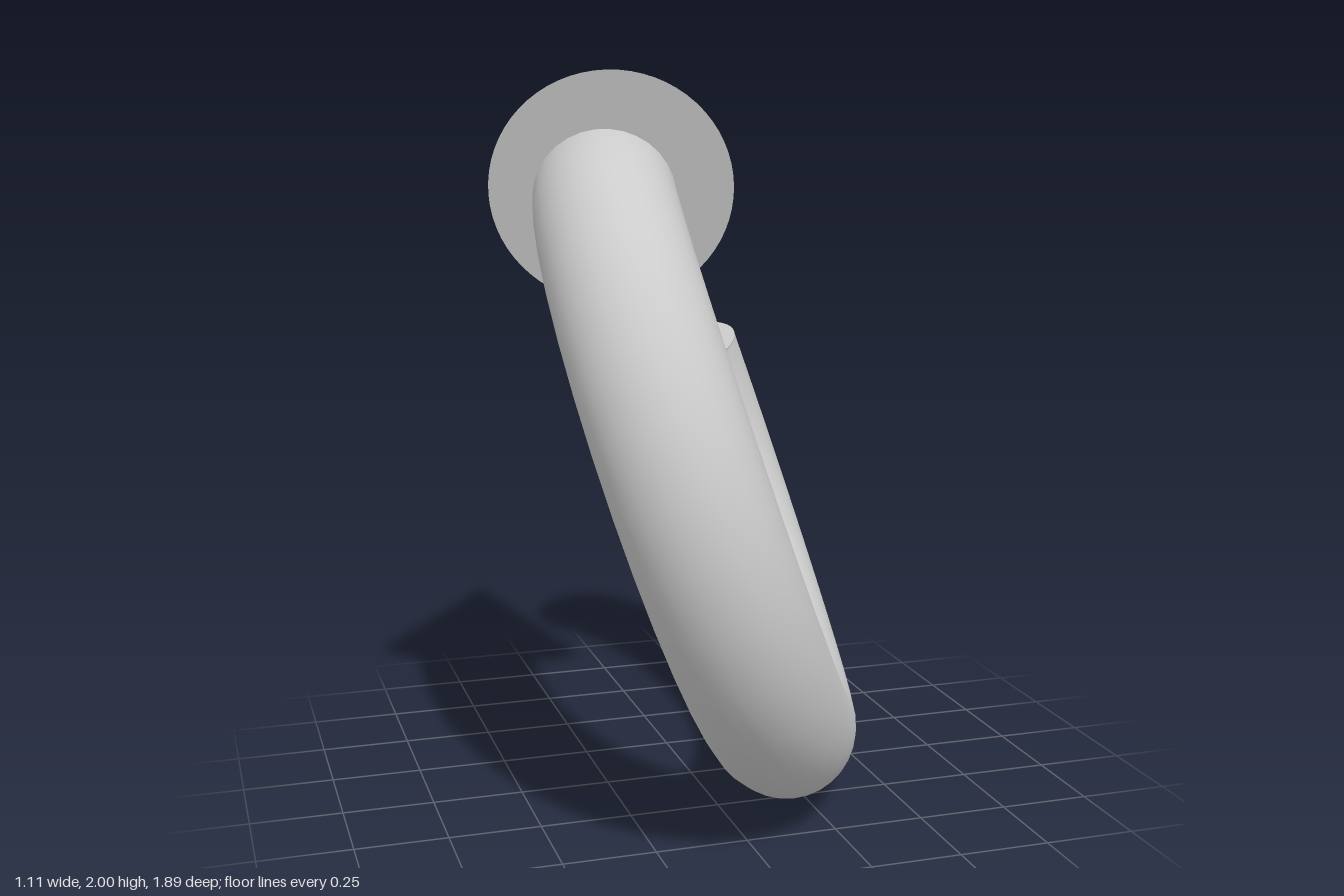
import * as THREE from 'three';

export function createModel() {
  const model = new THREE.Group();
  model.name = 'curvedArrow';
  const material = new THREE.MeshStandardMaterial({ color: 0xcccccc, side: THREE.DoubleSide });
  const add = (parent, name, geometry) => {
    const mesh = new THREE.Mesh(geometry, material);
    mesh.name = name;
    parent.add(mesh);
    return mesh;
  };

  // Tilted frame of the ring: local x points at the tail, local z is the ring axis
  const R = 0.787, r = 0.191;
  const axis = new THREE.Vector3(-0.903, -0.324, -0.283).normalize();
  const tailDir = new THREE.Vector3(0.218, 0.24, -0.946);
  const side = new THREE.Vector3().crossVectors(axis, tailDir).normalize();
  tailDir.crossVectors(side, axis);
  const ring = new THREE.Group();
  ring.name = 'ring';
  ring.quaternion.setFromRotationMatrix(new THREE.Matrix4().makeBasis(tailDir, side, axis));
  ring.position.set(0.022, 0.936, 0);
  model.add(ring);

  // Three-quarter shaft, running slightly into the arrowhead
  add(ring, 'shaft', new THREE.TorusGeometry(R, r, 32, 26, Math.PI * 1.5 + 0.08));

  // Flat disc closing the tail, a touch wider than the shaft
  const cap = add(ring, 'tailCap', new THREE.CircleGeometry(0.2, 48));
  cap.rotation.x = Math.PI / 2;
  cap.position.set(R, -0.004, 0.008);

  // Cone arrowhead, placed from its base centre to its tip
  const base = new THREE.Vector3(-0.245, 1.688, 0.077);
  const tip = new THREE.Vector3(-0.08, 1.875, -0.535);
  const dir = tip.clone().sub(base);
  const head = add(model, 'arrowhead', new THREE.ConeGeometry(0.325, dir.length(), 64));
  head.position.copy(base).add(tip).multiplyScalar(0.5);
  head.quaternion.setFromUnitVectors(new THREE.Vector3(0, 1, 0), dir.normalize());

  return model;
}
